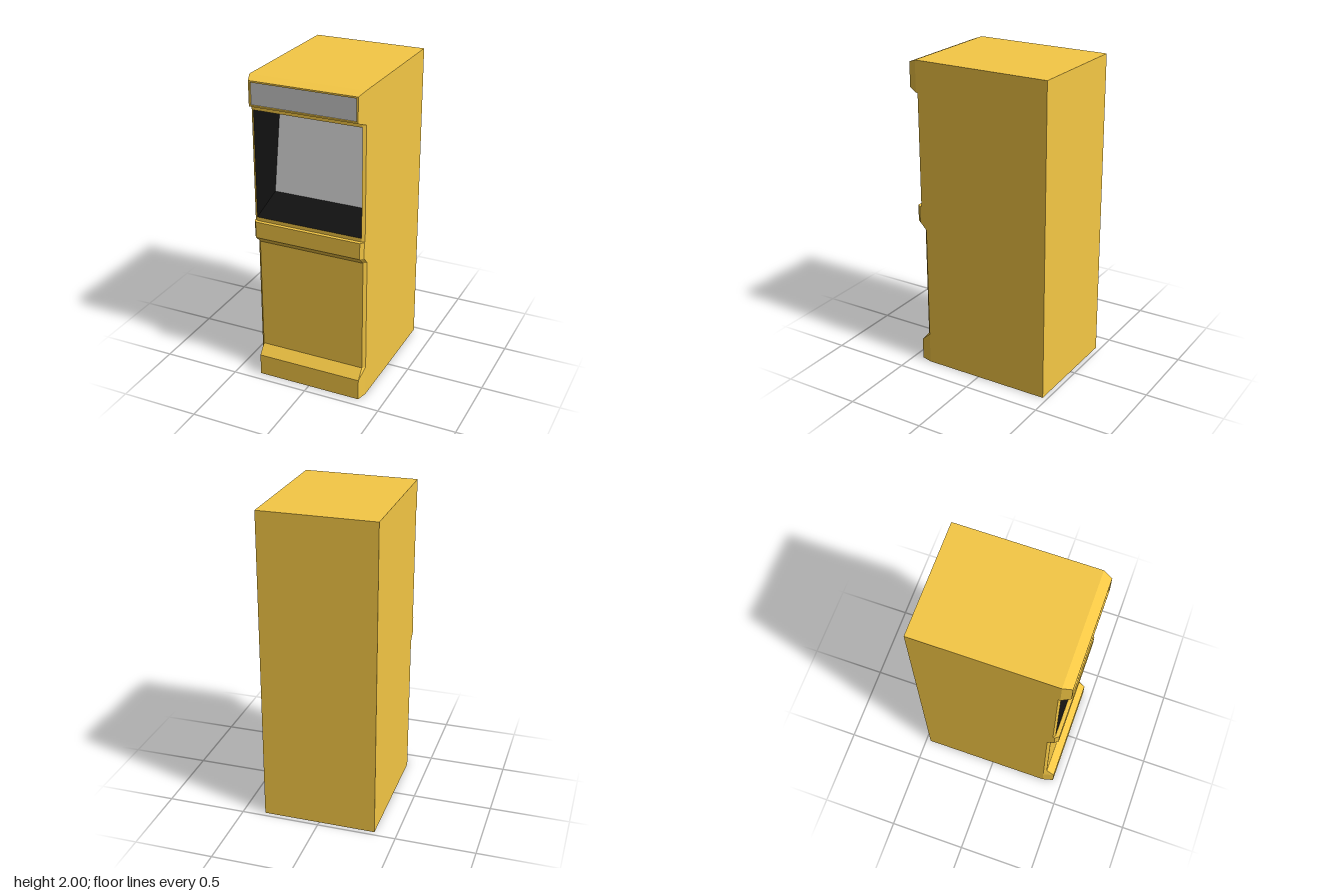
import * as THREE from 'three';

const yellow = new THREE.MeshStandardMaterial({ color: 0xf5c845 });
const black = new THREE.MeshStandardMaterial({ color: 0x111111, side: THREE.DoubleSide });
const grey = new THREE.MeshStandardMaterial({ color: 0xcccccc, side: THREE.DoubleSide });

const W = 0.36, BACK = -0.47, XI = 0.342;

// Flat-shaded mesh from convex polygons, each a list of [x, y, z]
function polyMesh(name, polys, material) {
  const pos = [];
  for (const p of polys)
    for (let i = 1; i < p.length - 1; i++) pos.push(...p[0], ...p[i], ...p[i + 1]);
  const geo = new THREE.BufferGeometry();
  geo.setAttribute('position', new THREE.Float32BufferAttribute(pos, 3));
  geo.computeVertexNormals();
  const mesh = new THREE.Mesh(geo, material);
  mesh.name = name;
  return mesh;
}

// Horizontal section: side edge at zo, bevelled in to the front face at zi
const ring = ([y, zo, zi, xi = XI]) => [
  [-W, y, zo], [-xi, y, zi], [xi, y, zi], [W, y, zo], [W, y, BACK], [-W, y, BACK],
];

export function createModel() {
  const group = new THREE.Group();

  // Cabinet sections from floor to top: [y, side edge z, front z, front half width]
  const winBottom = 1.105, winTop = 1.785, signBottom = 1.825, signTop = 1.979;
  const rows = [
    [0, 0.37, 0.44], [0.138, 0.37, 0.44], [0.2, 0.37, 0.388],        // plinth
    [0.93, 0.37, 0.388],                                             // lower door
    [0.978, 0.414, 0.438], [1.082, 0.414, 0.438],                    // control ledge
    [1.082, 0.402, 0.414], [winBottom, 0.402, 0.414],                // window surround
    [winTop, 0.402, 0.414], [1.803, 0.402, 0.414],
    [1.803, 0.414, 0.414, W], [signBottom, 0.414, 0.47, 0.339],      // sign box
    [signTop, 0.414, 0.47, 0.339], [2, 0.414, 0.414, W],
  ];
  const rings = rows.map(ring);
  const polys = [[...rings[0]].reverse(), rings[rings.length - 1]];
  for (let r = 0; r < rings.length - 1; r++) {
    const a = rings[r], b = rings[r + 1];
    const open = rows[r][0] === winBottom || rows[r][0] === signBottom;
    for (let i = 0; i < 6; i++) {
      if (open && i === 1) continue; // front opening
      const j = (i + 1) % 6;
      polys.push([a[i], a[j], b[j], b[i]]);
    }
  }
  group.add(polyMesh('cabinet', polys, yellow));

  // Screen niche: sloping floor, leaning screen, flat ceiling and side walls
  const profile = [[winBottom, 0.414], [1.18, 0.18], [winTop, 0.08], [winTop, 0.414]];
  const at = (x, i) => [x, ...profile[i]];
  const strip = (i, j) => [at(-XI, i), at(XI, i), at(XI, j), at(-XI, j)];
  group.add(polyMesh('screenNiche', [
    strip(0, 1), strip(2, 3),
    [0, 1, 2, 3].map((i) => at(XI, i)),
    [3, 2, 1, 0].map((i) => at(-XI, i)),
  ], black));
  group.add(polyMesh('screen', [strip(1, 2)], grey));

  // Sign frame with recessed panel
  const rect = (path, x, y0, y1) => {
    path.moveTo(-x, y0);
    path.lineTo(x, y0);
    path.lineTo(x, y1);
    path.lineTo(-x, y1);
    path.closePath();
    return path;
  };
  const shape = rect(new THREE.Shape(), 0.339, signBottom, signTop);
  shape.holes.push(rect(new THREE.Path(), 0.329, 1.834, 1.969));
  const frame = new THREE.Mesh(
    new THREE.ExtrudeGeometry(shape, { depth: 0.01, bevelEnabled: false }), yellow);
  frame.name = 'signFrame';
  frame.position.z = 0.46;
  group.add(frame);

  const sign = new THREE.Mesh(new THREE.PlaneGeometry(0.66, 0.137), grey);
  sign.name = 'signPanel';
  sign.position.set(0, 1.9015, 0.461);
  group.add(sign);

  return group;
}
